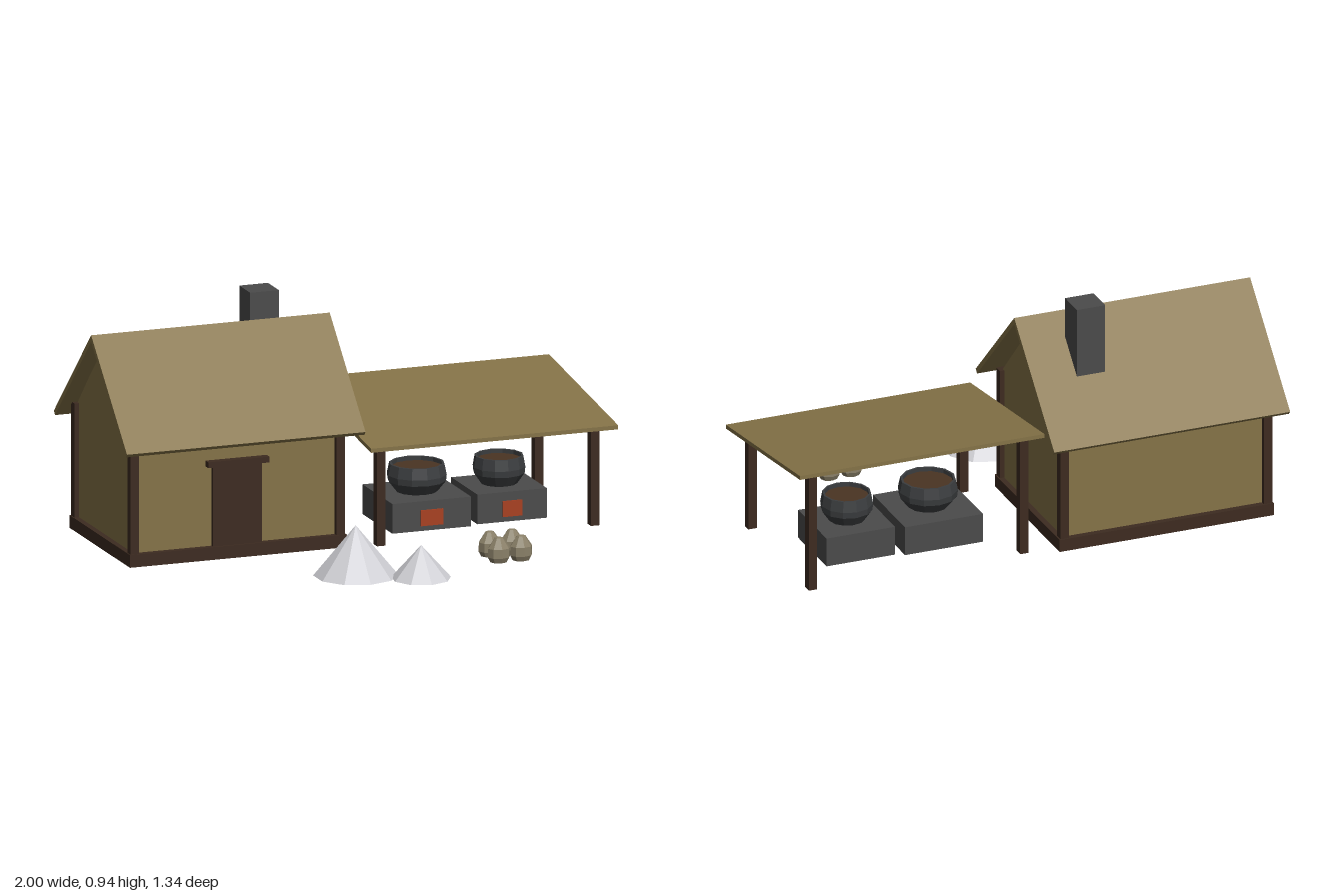
import * as THREE from 'three';

const mat = (name, color, extra = {}) => {
  const m = new THREE.MeshStandardMaterial({ color, ...extra });
  m.name = name;
  return m;
};

export function createModel() {
  const model = new THREE.Group();
  model.name = 'saltWorks';

  const thatch = mat('thatch', 0x857347);
  const wood = mat('darkWood', 0x3d2b20);
  const stone = mat('stone', 0x4b4b4b);
  const iron = mat('iron', 0x3b3d3f, { flatShading: true, side: THREE.DoubleSide });
  const brine = mat('brine', 0x4a3423);
  const ember = mat('ember', 0xa84020);
  const salt = mat('salt', 0xd0d0d5, { flatShading: true });
  const sack = mat('sackcloth', 0x8a8068, { flatShading: true });

  const add = (parent, name, geometry, material) => {
    const mesh = new THREE.Mesh(geometry, material);
    mesh.name = name;
    parent.add(mesh);
    return mesh;
  };
  const group = (name) => {
    const g = new THREE.Group();
    g.name = name;
    model.add(g);
    return g;
  };
  // Box given by its limits on each axis
  const box = (parent, name, material, [x0, x1], [y0, y1], [z0, z1]) => {
    const g = new THREE.BoxGeometry(x1 - x0, y1 - y0, z1 - z0);
    g.translate((x0 + x1) / 2, (y0 + y1) / 2, (z0 + z1) / 2);
    return add(parent, name, g, material);
  };
  // Outline in (z, y) drawn out along x
  const prism = (parent, name, material, points, x0, x1) => {
    const shape = new THREE.Shape(points.map(([z, y]) => new THREE.Vector2(z, y)));
    const g = new THREE.ExtrudeGeometry(shape, { depth: x1 - x0, bevelEnabled: false });
    g.rotateY(-Math.PI / 2);
    g.translate(x1, 0, 0);
    return add(parent, name, g, material);
  };

  // House: sill, gabled walls, corner posts
  const house = group('house');
  box(house, 'sill', wood, [-0.958, -0.072], [0.01, 0.06], [-0.61, 0.04]);
  prism(house, 'walls', thatch,
    [[0.015, 0.05], [0.015, 0.51], [-0.285, 0.825], [-0.585, 0.51], [-0.585, 0.05]], -0.935, -0.095);
  for (const x of [-0.954, -0.112]) {
    for (const z of [-0.605, 0]) {
      box(house, 'cornerPost', wood, [x, x + 0.035], [0.06, 0.51], [z, z + 0.036]);
    }
  }

  // Door and lintel
  box(house, 'door', wood, [-0.615, -0.415], [0.05, 0.375], [0, 0.032]);
  box(house, 'lintel', wood, [-0.64, -0.39], [0.375, 0.398], [0, 0.045]);

  // Roof slopes and chimney
  prism(house, 'frontRoof', thatch,
    [[-0.268, 0.857], [0.118, 0.479], [0.104, 0.465], [-0.268, 0.831]], -1, -0.025);
  prism(house, 'backRoof', thatch,
    [[-0.268, 0.857], [-0.268, 0.831], [-0.656, 0.448], [-0.67, 0.462]], -1, -0.025);
  box(house, 'chimney', stone, [-0.32, -0.203], [0.52, 0.943], [-0.465, -0.347]);

  // Open shed
  const shed = group('shed');
  prism(shed, 'shedRoof', thatch,
    [[0.137, 0.4], [0.137, 0.416], [-0.607, 0.516], [-0.607, 0.5]], -0.01, 1);
  for (const x of [0.04, 0.914]) {
    box(shed, 'frontShedPost', wood, [x, x + 0.035], [0.01, 0.408], [0.034, 0.07]);
    box(shed, 'backShedPost', wood, [x, x + 0.035], [0.01, 0.492], [-0.571, -0.535]);
  }

  // Furnaces with boiling pots
  const z = -0.25;
  for (const [x, s] of [[0.324, 1], [0.66, 0.88]]) {
    const furnace = group('furnace');
    const h = 0.161 * s;
    box(furnace, 'hearth', stone, [x - h, x + h], [0.01, 0.127], [z - h, z + h]);
    box(furnace, 'emberOpening', ember,
      [x - 0.046 * s, x + 0.046 * s], [0.03, 0.092], [z + h, z + h + 0.006]);
    const profile = [[0, 0.128], [0.08, 0.128], [0.113, 0.17], [0.116, 0.195], [0.107, 0.238], [0.098, 0.238], [0.098, 0.215]]
      .map(([r, y]) => new THREE.Vector2(r * s, y));
    add(furnace, 'pot', new THREE.LatheGeometry(profile, 12), iron).position.set(x, 0, z);
    const surface = new THREE.CircleGeometry(0.1 * s, 12);
    surface.rotateX(-Math.PI / 2);
    add(furnace, 'brineSurface', surface, brine).position.set(x, 0.222, z);
  }

  // Salt heaps
  const heaps = group('saltHeaps');
  for (const [x, hz, r, h, sides] of [[-0.18, 0.42, 0.163, 0.196, 10], [0.037, 0.553, 0.116, 0.13, 9]]) {
    add(heaps, 'saltHeap', new THREE.ConeGeometry(r, h, sides), salt).position.set(x, 0.003 + h / 2, hz);
  }

  // Sacks
  const sacks = group('sacks');
  const sackProfile = [[0, 0.01], [0.034, 0.01], [0.045, 0.03], [0.044, 0.065], [0.017, 0.105], [0, 0.108]]
    .map(([r, y]) => new THREE.Vector2(r, y));
  for (const x of [0.393, 0.484]) {
    for (const sz of [0.352, 0.452]) {
      const m = add(sacks, 'sack', new THREE.LatheGeometry(sackProfile, 8), sack);
      m.scale.z = 0.84;
      m.position.set(x, 0, sz);
    }
  }

  return model;
}
